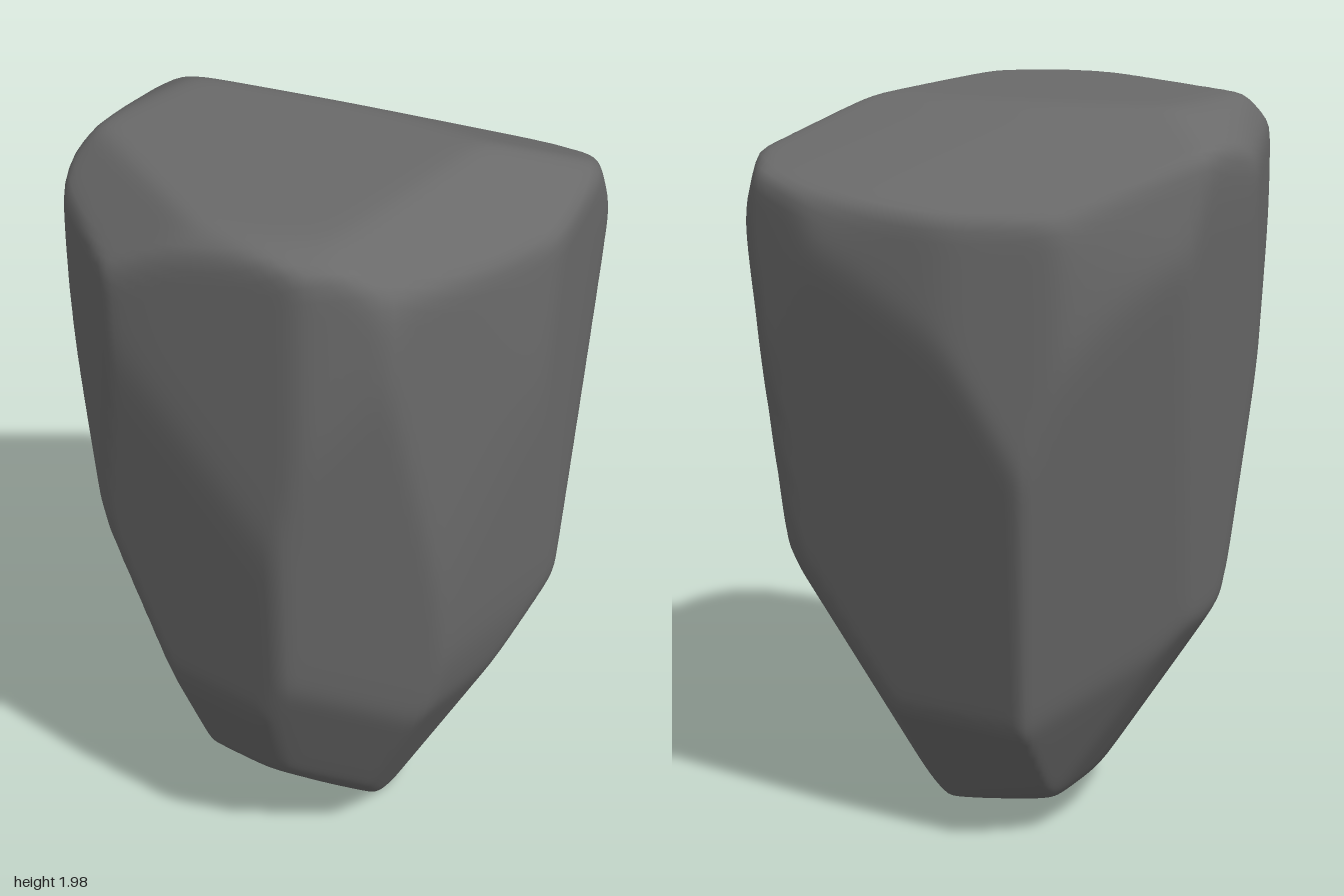
import * as THREE from 'three';
import { mergeVertices } from 'three/addons/utils/BufferGeometryUtils.js';

// The boulder is a block chiselled by flat cuts. Each set holds the cuts parallel to one
// axis (azimuth and elevation in degrees), as a counter-clockwise outline across that axis.
const CUTS = [
  { azimuth: 0, elevation: 0, outline: [
    [0.24, -1], [0.57, -0.43], [0.61, -0.27], [0.66, 0.45], [0.63, 0.91],
    [0.45, 1], [-0.45, 1], [-0.66, 0.89], [-0.51, -0.37], [-0.16, -0.92],
  ] },
  { azimuth: 90, elevation: 0, outline: [
    [-0.08, -1], [0.1, -1], [0.42, -0.63], [0.7, 0.66], [0.67, 0.8], [0.2, 0.99],
    [-0.6, 1], [-0.7, 0.9], [-0.7, 0.65], [-0.55, -0.42], [-0.41, -0.72],
  ] },
  { azimuth: 0, elevation: 90, outline: [
    [-0.46, -0.47], [-0.1, -0.7], [0.44, -0.62], [0.61, -0.48], [0.66, 0.1], [0.51, 0.61],
    [0.2, 0.7], [-0.15, 0.65], [-0.42, 0.54], [-0.65, 0.28], [-0.65, -0.03],
  ] },
  { azimuth: 35, elevation: 25, outline: [
    [-0.24, -0.88], [0.2, -0.98], [0.65, -0.27], [0.76, 0.72], [0.71, 0.87],
    [-0.45, 1.05], [-0.65, 0.78], [-0.635, 0.4], [-0.53, -0.13],
  ] },
  { azimuth: 215, elevation: 25, outline: [
    [-0.25, -0.89], [0.1, -0.91], [0.5, -0.38], [0.65, 0.7], [0.64, 0.84],
    [0.2, 1.18], [-0.15, 1.18], [-0.72, 0.78], [-0.765, 0.58], [-0.67, -0.23],
  ] },
  { azimuth: 145, elevation: -25, outline: [
    [-0.6, -0.38], [-0.42, -0.72], [-0.1, -0.93], [0.25, -0.79], [0.43, -0.48], [0.68, 0.53],
    [0.65, 0.76], [0.355, 0.97], [-0.06, 1.12], [-0.75, 0.8], [-0.79, 0.67],
  ] },
];
const SHARPNESS = 100; // lower values round the edges between cuts more

// one vector per cut: its outward normal divided by its distance from the middle
function cutVectors({ azimuth, elevation, outline }) {
  const a = THREE.MathUtils.degToRad(azimuth);
  const e = THREE.MathUtils.degToRad(elevation);
  const across = new THREE.Vector3(Math.cos(a), 0, -Math.sin(a));
  const upward = new THREE.Vector3(
    -Math.sin(a) * Math.sin(e), Math.cos(e), -Math.cos(a) * Math.sin(e));
  return outline.map(([x0, y0], i) => {
    const [x1, y1] = outline[(i + 1) % outline.length];
    const nx = y1 - y0;
    const ny = x0 - x1;
    const distance = nx * x0 + ny * y0;
    return new THREE.Vector3()
      .addScaledVector(across, nx / distance)
      .addScaledVector(upward, ny / distance);
  });
}

// pulls every point of a ball in to the nearest cut, blending softly where cuts meet
function boulderGeometry() {
  const cuts = CUTS.flatMap(cutVectors);
  const ball = new THREE.SphereGeometry(1, 160, 140).scale(0.66, 1, 0.7);
  ball.deleteAttribute('uv');
  ball.deleteAttribute('normal');
  const geometry = mergeVertices(ball);
  const position = geometry.attributes.position;
  const v = new THREE.Vector3();
  for (let i = 0; i < position.count; i++) {
    v.fromBufferAttribute(position, i);
    let sum = 0;
    for (const cut of cuts) sum += Math.max(0, cut.dot(v)) ** SHARPNESS;
    v.multiplyScalar(sum ** (-1 / SHARPNESS));
    position.setXYZ(i, v.x, v.y + 1, v.z);
  }
  geometry.computeVertexNormals();
  return geometry;
}

export function createModel() {
  const group = new THREE.Group();
  group.name = 'rock';
  const boulder = new THREE.Mesh(
    boulderGeometry(),
    new THREE.MeshStandardMaterial({ color: 0x6a6a6a }),
  );
  boulder.name = 'boulder';
  group.add(boulder);
  return group;
}
